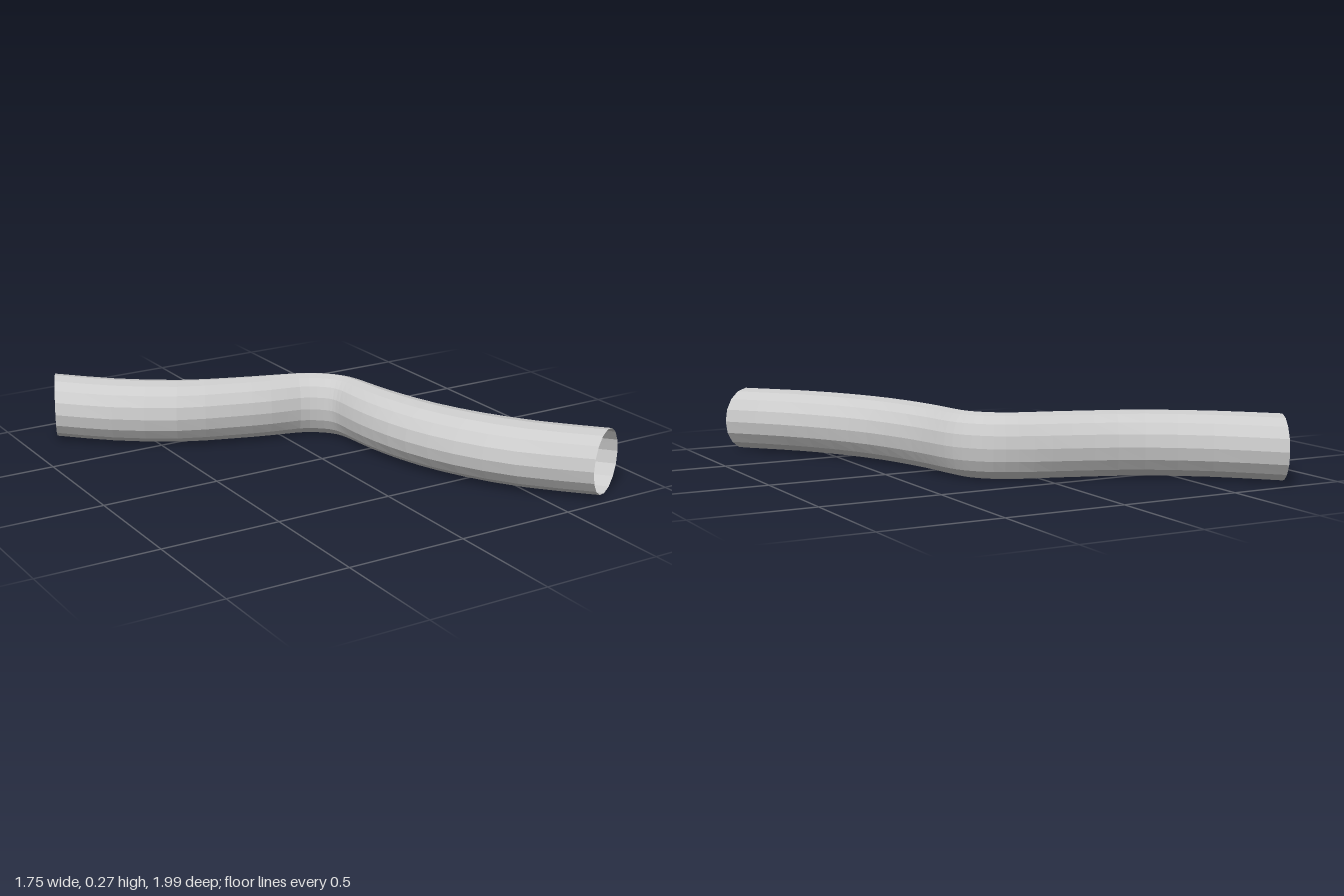
import * as THREE from 'three';

const RADIUS = 0.134; // constant vertical half height
const SIDES = 16;
const RINGS = 30;

// Plan-view stations along the pipe: outer-bend x, z and inner-bend x, z
const STATIONS = [
  [-0.76, -1.0, -0.88, -0.74],
  [-0.555, -0.785, -0.7, -0.565],
  [-0.34, -0.625, -0.47, -0.41],
  [-0.16, -0.54, -0.25, -0.33],
  [0.0, -0.48, -0.08, -0.28],
  [0.12, -0.43, 0.05, -0.255],
  [0.21, -0.38, 0.11, -0.22],
  [0.275, -0.315, 0.145, -0.185],
  [0.32, -0.24, 0.158, -0.15],
  [0.345, -0.15, 0.16, -0.1],
  [0.365, -0.05, 0.16, -0.02],
  [0.4, 0.08, 0.17, 0.12],
  [0.465, 0.265, 0.205, 0.31],
  [0.56, 0.45, 0.285, 0.53],
  [0.69, 0.64, 0.42, 0.76],
  [0.87, 0.85, 0.63, 0.99],
];

const edgeCurve = (i) => new THREE.CatmullRomCurve3(
  STATIONS.map((s) => new THREE.Vector3(s[i], RADIUS, s[i + 1])), false, 'catmullrom', 0.5);

export function createModel() {
  const group = new THREE.Group();
  const outer = edgeCurve(0);
  const inner = edgeCurve(2);

  // Open cylinder whose rings are laid as ellipses between the two edges
  const geometry = new THREE.CylinderGeometry(1, 1, 1, SIDES, RINGS, true);
  const pos = geometry.attributes.position;
  const p = new THREE.Vector3();
  for (let i = 0; i < pos.count; i++) {
    const across = pos.getX(i);
    const t = THREE.MathUtils.clamp(0.5 - pos.getY(i), 0, 1);
    p.lerpVectors(inner.getPoint(t), outer.getPoint(t), 0.5 + across / 2);
    pos.setXYZ(i, p.x, RADIUS * (1 + pos.getZ(i)), p.z);
  }
  geometry.computeVertexNormals();

  const pipe = new THREE.Mesh(geometry, new THREE.MeshStandardMaterial({
    color: 0xcccccc, flatShading: true, side: THREE.DoubleSide,
  }));
  pipe.name = 'bentPipe';
  group.add(pipe);
  return group;
}
